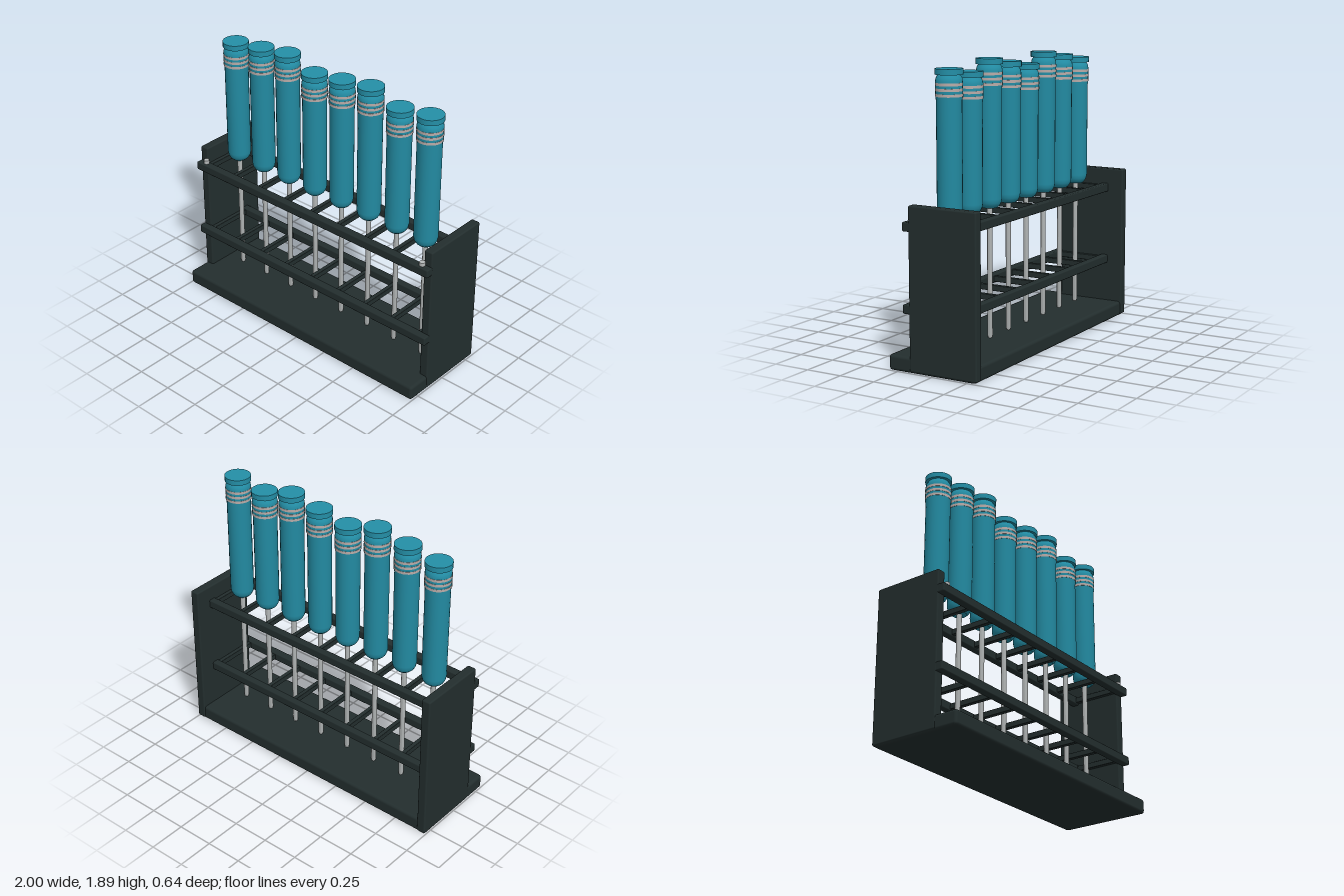
import * as THREE from 'three';
import { toCreasedNormals } from 'three/addons/utils/BufferGeometryUtils.js';
import { RoundedBoxGeometry } from 'three/addons/geometries/RoundedBoxGeometry.js';

const material = (name, color) => {
  const m = new THREE.MeshStandardMaterial({ color });
  m.name = name;
  return m;
};

export function createModel() {
  const frameMat = material('dark frame', 0x232e2e);
  const tubeMat = material('teal tube', 0x248fa7);
  const steelMat = material('steel', 0xb6baba);
  const bandMat = material('pale band', 0xbaadaa);

  const model = new THREE.Group();
  model.name = 'tubeRack';

  const add = (parent, name, geometry, mat, x = 0, y = 0, z = 0) => {
    const mesh = new THREE.Mesh(geometry, mat);
    mesh.name = name;
    mesh.position.set(x, y, z);
    parent.add(mesh);
    return mesh;
  };

  // Rounded block given by its lower and upper limits
  const block = (parent, name, [x0, x1], [y0, y1], [z0, z1], radius) =>
    add(parent, name, new RoundedBoxGeometry(x1 - x0, y1 - y0, z1 - z0, 2, radius), frameMat,
      (x0 + x1) / 2, (y0 + y1) / 2, (z0 + z1) / 2);

  // Turned part from [radius, height] points
  const turned = (points, segments = 24) => toCreasedNormals(
    new THREE.LatheGeometry(points.map(([r, y]) => new THREE.Vector2(r, y)), segments), 0.6);

  // Base and side panels
  block(model, 'base', [-0.997, 0.997], [0, 0.1], [-0.31, 0.318], 0.02);
  for (const [name, x0] of [['leftPanel', 0.938], ['rightPanel', -1]]) {
    block(model, name, [x0, x0 + 0.062], [0.01, 1.042], [-0.318, 0.162], 0.01);
  }

  // Two ladder-like shelves between the panels
  const spacing = 0.231;
  for (const [name, y] of [['lowerShelf', 0.37], ['upperShelf', 0.88]]) {
    const shelf = new THREE.Group();
    shelf.name = name;
    model.add(shelf);
    block(shelf, 'frontRail', [-1, 1], [y, y + 0.058], [0.152, 0.207], 0.008);
    block(shelf, 'backRail', [-0.945, 0.945], [y, y + 0.058], [-0.207, -0.157], 0.008);
    for (let i = 0; i < 9; i++) {
      const x = (i - 4) * spacing;
      block(shelf, 'crossBar', [x - 0.015, x + 0.015], [y + 0.01, y + 0.048], [-0.165, 0.16], 0.004);
    }
  }

  // Bolts on the upper front rail
  for (const x of [-0.936, 0.936]) {
    add(model, 'bolt', new THREE.CylinderGeometry(0.019, 0.019, 0.05, 12), steelMat, x, 0.938, 0.176);
  }

  // Eight tubes on rods, stepping through three heights
  const tops = [1.825, 1.857, 1.889];
  const bottom = 0.948;
  for (let i = 0; i < 8; i++) {
    const top = tops[i % 3];
    const tube = new THREE.Group();
    tube.name = 'tube';
    tube.position.set((i - 3.5) * spacing, 0, -0.017);
    model.add(tube);

    add(tube, 'rod', turned([[0, 0.098], [0.012, 0.098], [0.017, 0.115], [0.017, 0.96], [0, 0.96]], 12), steelMat);

    // Rounded bottom, straight wall, slight collar and shoulder
    add(tube, 'body', turned([
      [0, bottom], [0.048, bottom], [0.064, bottom + 0.015], [0.074, bottom + 0.034], [0.079, bottom + 0.06],
      [0.079, top - 0.19], [0.083, top - 0.165], [0.083, top - 0.075], [0.079, top - 0.055],
      [0.066, top - 0.034], [0, top - 0.034],
    ]), tubeMat);

    add(tube, 'cap', new THREE.CylinderGeometry(0.086, 0.086, 0.036, 24), tubeMat, 0, top - 0.018, 0);

    // Three painted rings
    for (const drop of [0.093, 0.126, 0.159]) {
      add(tube, 'band', new THREE.CylinderGeometry(0.0845, 0.0845, 0.017, 24), bandMat, 0, top - drop, 0);
    }
  }
  return model;
}
